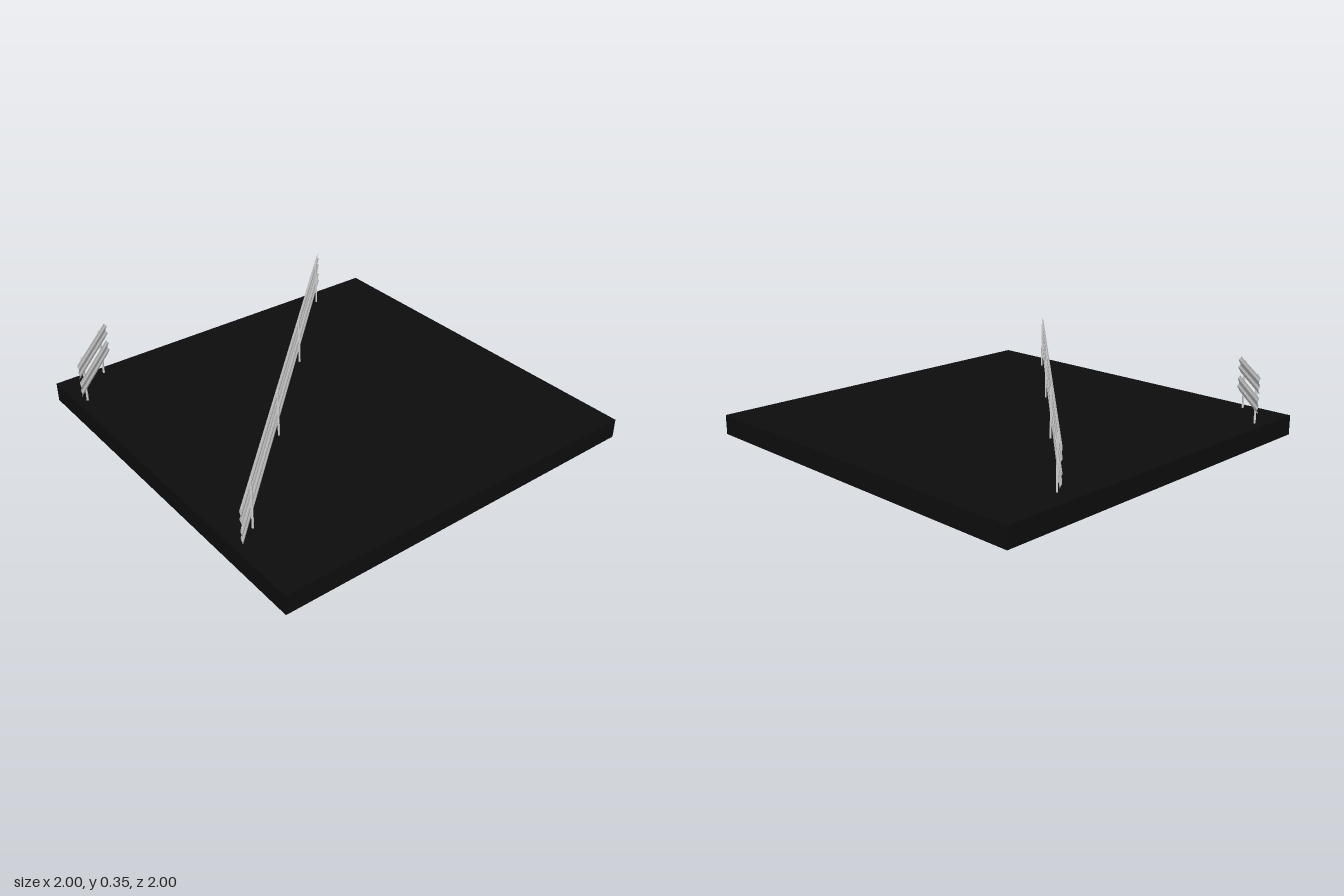
import * as THREE from 'three';

const steel = new THREE.MeshStandardMaterial({ color: 0xcccccc });
const asphalt = new THREE.MeshStandardMaterial({ color: 0x0d0d0d });

// Thin W-section: off = bulge away from the posts, y = height in the beam
function beamShape() {
  const wave = [[0, 0], [0.003, 0.007], [0.012, 0.016], [0.012, 0.025], [0.003, 0.035],
    [0.003, 0.045], [0.012, 0.055], [0.012, 0.064], [0.003, 0.073], [0, 0.08]];
  const back = wave.map(([off, y]) => [off - 0.003, y]).reverse();
  return new THREE.Shape([...wave, ...back].map(([off, y]) => new THREE.Vector2(off, y)));
}

// Diagonal beam on the line x + z = sum, trimmed flush with the slab's two edges
function beam(sum, dir, y0) {
  const geo = new THREE.ExtrudeGeometry(beamShape(), { depth: 1, bevelEnabled: false });
  const p = geo.attributes.position;
  for (let i = 0; i < p.count; i++) {
    const s = sum + dir * p.getX(i);
    const atLeftEdge = (p.getZ(i) < 0.5) === (dir < 0);
    p.setXYZ(i, atLeftEdge ? -1 : s + 1, p.getY(i) + y0, atLeftEdge ? s + 1 : -1);
  }
  geo.computeVertexNormals();
  const mesh = new THREE.Mesh(geo, steel);
  mesh.name = 'railBeam';
  return mesh;
}

// Two stacked beams with posts behind them; posts are given by x - z along the line
function guardrail(name, sum, dir, posts) {
  const g = new THREE.Group();
  g.name = name;
  for (const y of [0.17, 0.27]) g.add(beam(sum, dir, y));
  const postSum = sum - dir * 0.007;
  for (const t of posts) {
    const post = new THREE.Mesh(new THREE.BoxGeometry(0.009, 0.25, 0.009), steel);
    post.name = 'post';
    post.position.set((postSum + t) / 2, 0.225, (postSum - t) / 2);
    post.rotation.y = Math.PI / 4;
    g.add(post);
  }
  return g;
}

export function createModel() {
  const model = new THREE.Group();
  model.name = 'diagonalRoad';

  const slab = new THREE.Mesh(new THREE.BoxGeometry(2, 0.1, 2), asphalt);
  slab.name = 'roadSlab';
  slab.position.y = 0.05;
  model.add(slab);

  model.add(guardrail('longGuardrail', -0.29, -1, [-1.441, -0.457, 0.527, 1.51]));
  model.add(guardrail('shortGuardrail', -1.696, 1, [-0.19, 0.193]));
  return model;
}
